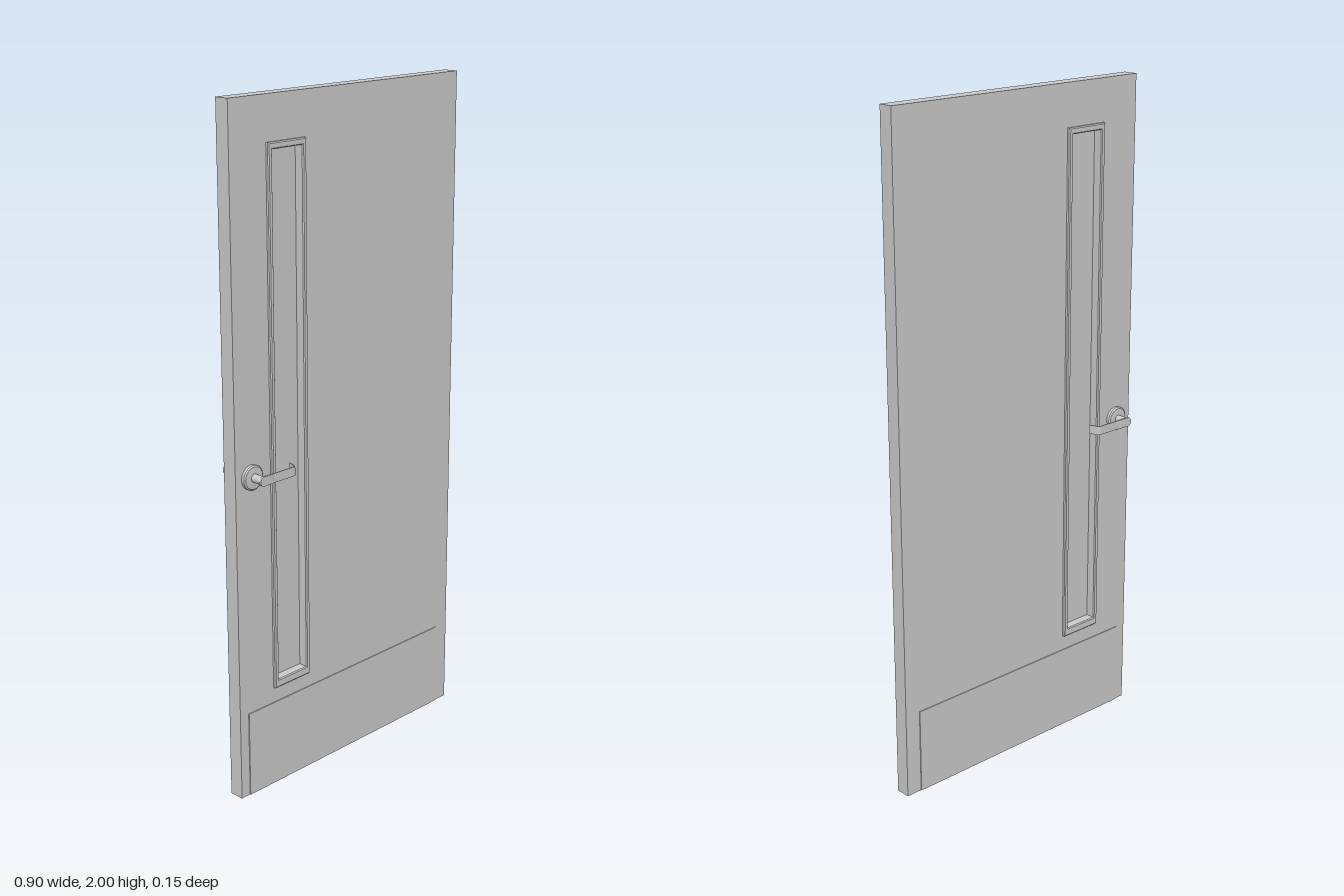
import * as THREE from 'three';

const material = new THREE.MeshStandardMaterial({ color: 0xcccccc });

function add(parent, name, geometry, x = 0, y = 0, z = 0) {
  const mesh = new THREE.Mesh(geometry, material);
  mesh.name = name;
  mesh.position.set(x, y, z);
  parent.add(mesh);
  return mesh;
}

// Closed rectangle as a list of corners
const rect = (x0, y0, x1, y1) => [[x0, y0], [x1, y0], [x1, y1], [x0, y1]].map((p) => new THREE.Vector2(...p));

function plateWithHole(outer, hole, depth, bevel = 0) {
  const shape = new THREE.Shape(outer);
  shape.holes.push(new THREE.Path(hole));
  const geometry = new THREE.ExtrudeGeometry(shape, {
    depth: depth - 2 * bevel, bevelEnabled: bevel > 0, bevelSize: bevel,
    bevelThickness: bevel, bevelOffset: -bevel, bevelSegments: 1,
  });
  return geometry.translate(0, 0, -depth / 2 + bevel);
}

// One lever handle on the +z side, its spindle at the local origin
function createHandle(name) {
  const handle = new THREE.Group();
  handle.name = name;

  // Round rose with a chamfered rim
  const rose = [[0.036, 0.02], [0.036, 0.031], [0.032, 0.0345], [0.018, 0.0355], [0, 0.0355]];
  // Each ring is doubled so the chamfers stay crisp
  const profile = rose.flatMap(([r, h]) => [new THREE.Vector2(r, h), new THREE.Vector2(r, h)]);
  add(handle, 'rose', new THREE.LatheGeometry(profile, 40).rotateX(Math.PI / 2));
  add(handle, 'neck', new THREE.CylinderGeometry(0.012, 0.012, 0.04, 28).rotateX(Math.PI / 2), 0, 0, 0.053);
  add(handle, 'leverHub', new THREE.CylinderGeometry(0.0145, 0.0145, 0.007, 28).rotateX(Math.PI / 2), 0, 0, 0.0725);

  // Lever: thin strip seen from above, bending back towards the door
  const shape = new THREE.Shape();
  shape.moveTo(0, 0.069);
  shape.lineTo(0.03, 0.07);
  shape.lineTo(0.036, 0.0715);
  shape.lineTo(0.112, 0.0715);
  shape.quadraticCurveTo(0.119, 0.0715, 0.121, 0.065);
  shape.lineTo(0.129, 0.041);
  shape.lineTo(0.132, 0.042);
  shape.lineTo(0.124, 0.067);
  shape.quadraticCurveTo(0.121, 0.0745, 0.113, 0.0745);
  shape.lineTo(0.036, 0.0745);
  shape.lineTo(0.03, 0.076);
  shape.lineTo(0, 0.076);
  const lever = new THREE.ExtrudeGeometry(shape, { depth: 0.027, bevelEnabled: false, curveSegments: 6 });
  add(handle, 'lever', lever.translate(0, 0, -0.0135).rotateX(Math.PI / 2));
  return handle;
}

export function createModel() {
  const door = new THREE.Group();
  door.name = 'door';

  // Door leaf with a tall slot for the window
  add(door, 'doorLeaf', plateWithHole(rect(-0.45, 0, 0.45, 2), rect(-0.31, 0.315, -0.184, 1.866), 0.045));

  // Bevelled frame lining the slot, with a pane in its middle
  add(door, 'windowFrame', plateWithHole(rect(-0.318, 0.307, -0.176, 1.875), rect(-0.303, 0.332, -0.191, 1.856), 0.064, 0.003));
  add(door, 'windowPane', new THREE.BoxGeometry(0.118, 1.53, 0.006), -0.247, 1.094, 0);

  // Kick plates and handles on both faces
  for (const side of [1, -1]) {
    const face = side > 0 ? 'front' : 'back';
    add(door, face + 'KickPlate', new THREE.BoxGeometry(0.818, 0.26, 0.0035), -0.009, 0.13, side * 0.0233);
    const handle = createHandle(face + 'Handle');
    handle.position.set(-0.391, 0.971, 0);
    if (side < 0) handle.rotation.x = Math.PI;
    door.add(handle);
  }
  return door;
}
